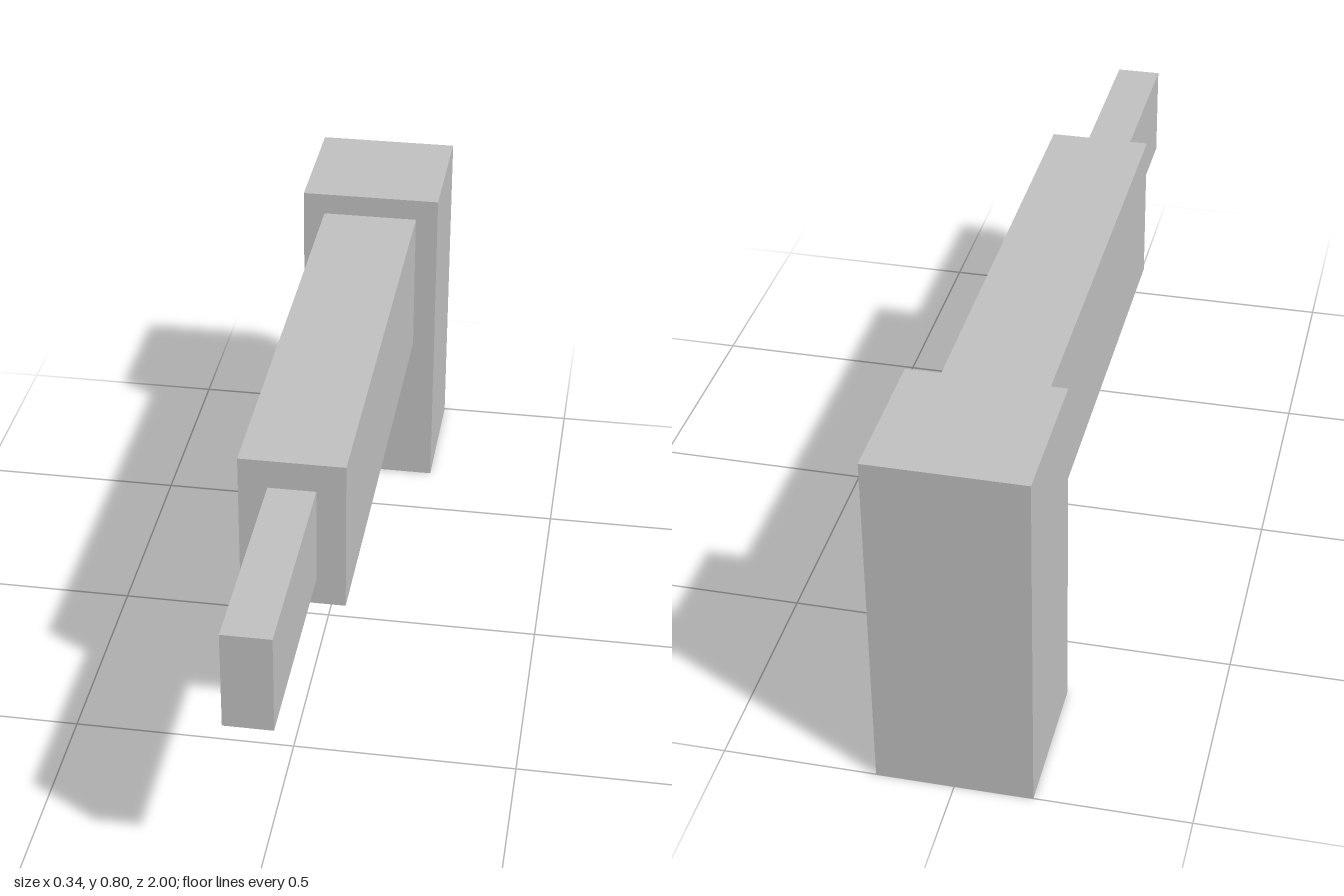
import * as THREE from 'three';

export function createModel() {
  const model = new THREE.Group();
  model.name = 'steppedArm';
  const grey = new THREE.MeshStandardMaterial({ color: 0xbfbfbf });
  grey.name = 'light grey';

  // Box given by its low and high limits on each axis
  function block(name, [x0, x1], [y0, y1], [z0, z1]) {
    const mesh = new THREE.Mesh(new THREE.BoxGeometry(x1 - x0, y1 - y0, z1 - z0), grey);
    mesh.name = name;
    mesh.position.set((x0 + x1) / 2, (y0 + y1) / 2, (z0 + z1) / 2);
    model.add(mesh);
  }

  // Upright post at the back
  block('post', [-0.168, 0.168], [0, 0.797], [-1, -0.666]);
  // Thick arm reaching forward from the post
  block('arm', [-0.116, 0.114], [0.392, 0.745], [-0.666, 0.484]);
  // Slim tip at the front end
  block('tip', [-0.053, 0.051], [0.457, 0.679], [0.484, 1]);

  return model;
}
